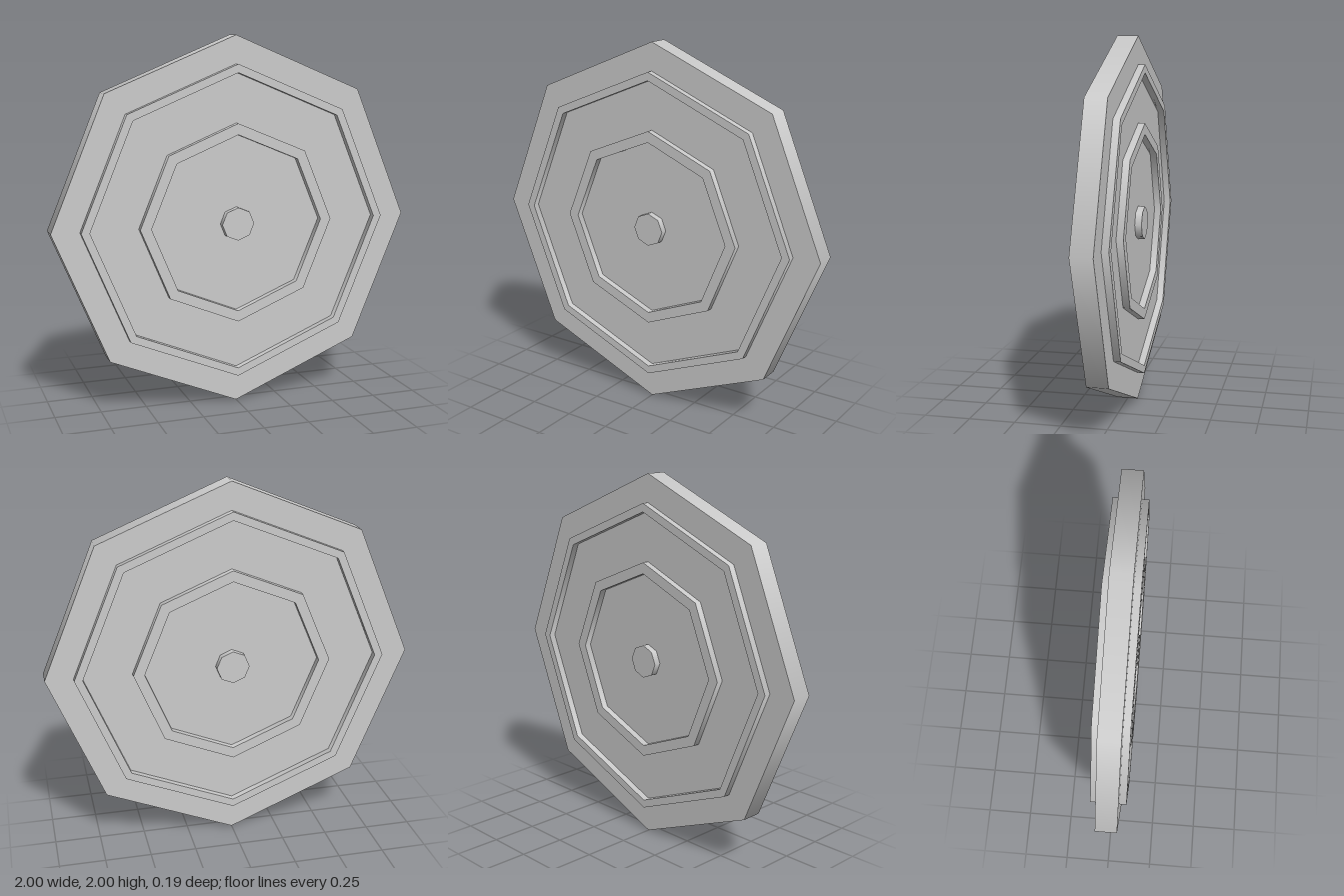
import * as THREE from 'three';
import { mergeGeometries } from 'three/addons/utils/BufferGeometryUtils.js';

const SIDES = 8;
const FACE = 0.057;   // half thickness of the plate
const RAISED = 0.094; // height of the raised rings and hub

// Octagonal lathe whose profile edges stay sharp: one strip per profile segment
function sharpLathe(profile) {
  const strips = [];
  for (let i = 0; i < profile.length - 1; i++) {
    const pair = [profile[i], profile[i + 1]].map(([r, h]) => new THREE.Vector2(r, h));
    strips.push(new THREE.LatheGeometry(pair, SIDES));
  }
  return mergeGeometries(strips);
}

const ringProfile = (outer, inner) => [[outer, FACE], [outer, RAISED], [inner, RAISED], [inner, FACE]];

export function createModel() {
  const group = new THREE.Group();
  const material = new THREE.MeshStandardMaterial({ color: 0xcccccc });

  function add(name, geometry, parent) {
    const mesh = new THREE.Mesh(geometry, material);
    mesh.name = name;
    parent.add(mesh);
  }

  // Main octagonal plate
  const plate = new THREE.CylinderGeometry(1, 1, FACE * 2, SIDES).rotateX(Math.PI / 2);
  add('plate', plate, group);

  // Raised relief, the same on both faces
  for (const [name, turn] of [['frontRelief', 1], ['backRelief', -1]]) {
    const relief = new THREE.Group();
    relief.name = name;
    relief.rotation.x = turn * Math.PI / 2;
    add('outerRing', sharpLathe(ringProfile(0.85, 0.805)), relief);
    add('innerRing', sharpLathe(ringProfile(0.54, 0.48)), relief);
    add('hub', sharpLathe([[0.09, FACE], [0.09, RAISED], [0, RAISED]]), relief);
    group.add(relief);
  }

  group.position.y = 1;
  const model = new THREE.Group();
  model.name = 'octagonalDisc';
  group.name = 'disc';
  model.add(group);
  return model;
}
